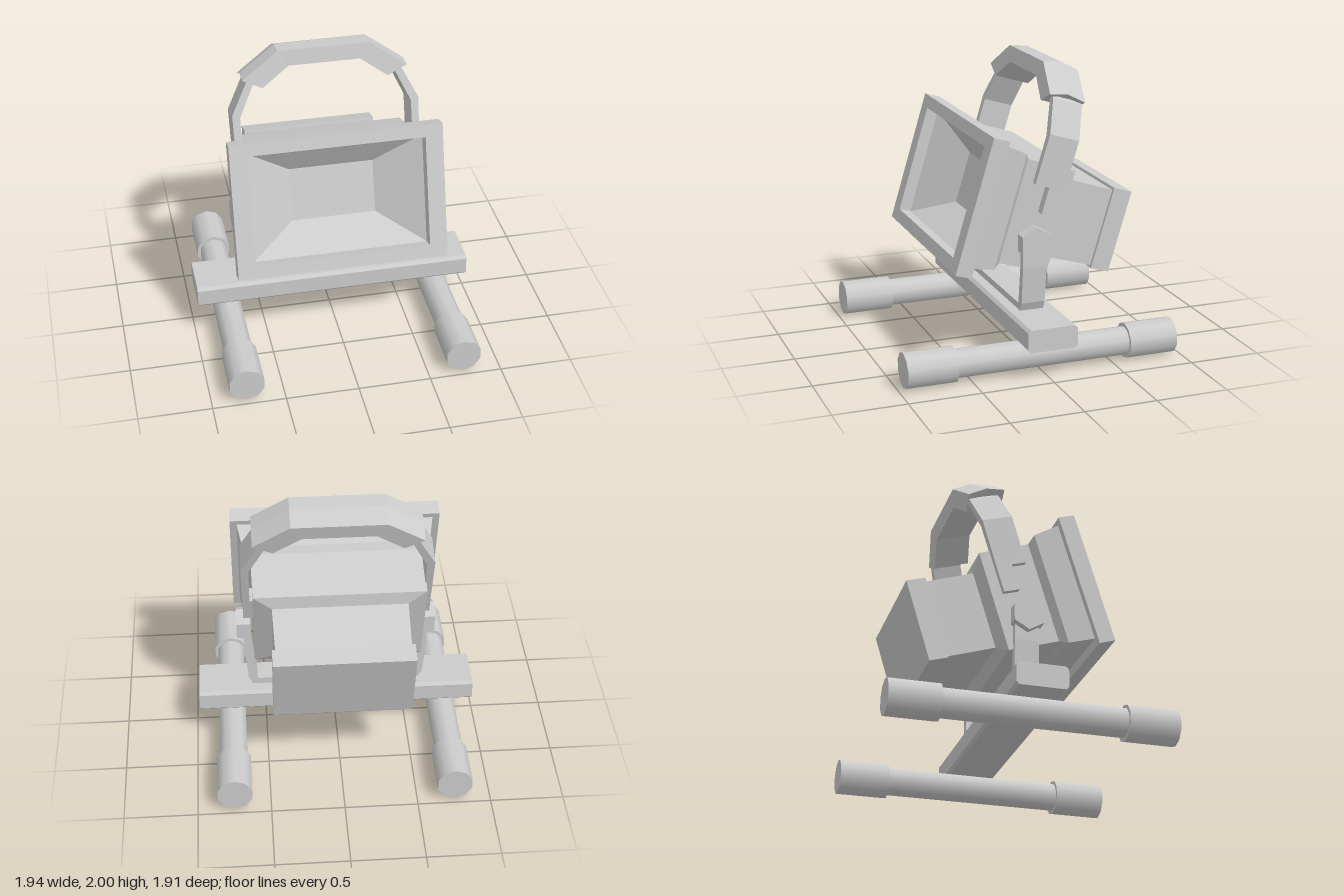
import * as THREE from 'three';

const flat = new THREE.MeshStandardMaterial({ color: 0xcccccc, flatShading: true });
const smooth = new THREE.MeshStandardMaterial({ color: 0xcccccc });

function add(parent, name, geometry, material = flat) {
  const mesh = new THREE.Mesh(geometry, material);
  mesh.name = name;
  parent.add(mesh);
  return mesh;
}

// Skin a list of equal-length rings and close both ends
function loft(rings) {
  const pos = [];
  const tri = (a, b, c) => pos.push(...a, ...b, ...c);
  const n = rings[0].length;
  for (let i = 0; i < rings.length - 1; i++) {
    for (let j = 0; j < n; j++) {
      const k = (j + 1) % n;
      const [a, b, c, d] = [rings[i][j], rings[i][k], rings[i + 1][k], rings[i + 1][j]];
      tri(a, b, c);
      tri(a, c, d);
    }
  }
  const last = rings[rings.length - 1];
  for (let j = 1; j < n - 1; j++) {
    tri(rings[0][0], rings[0][j + 1], rings[0][j]);
    tri(last[0], last[j], last[j + 1]);
  }
  const g = new THREE.BufferGeometry();
  g.setAttribute('position', new THREE.Float32BufferAttribute(pos, 3));
  g.computeVertexNormals();
  return g;
}

// Rectangular ring: depth, half width, bottom, top
const rect = ([z, w, y0, y1]) => [[-w, y0, z], [w, y0, z], [w, y1, z], [-w, y1, z]];

// Extrude an outline in x, y along z from z0 to z1
function extrude(points, z0, z1) {
  const shape = new THREE.Shape(points.map(([x, y]) => new THREE.Vector2(x, y)));
  return new THREE.ExtrudeGeometry(shape, { depth: z1 - z0, bevelEnabled: false }).translate(0, 0, z0);
}

export function createModel() {
  const model = new THREE.Group();
  model.name = 'floodlight';

  // Floor tubes with thicker end sleeves
  for (const x of [-0.757, 0.744]) {
    const foot = new THREE.Group();
    foot.name = 'footTube';
    foot.position.set(x, 0.123, 0);
    foot.rotation.x = Math.PI / 2;
    model.add(foot);
    add(foot, 'tube', new THREE.CylinderGeometry(0.099, 0.099, 1.3, 10), smooth);
    for (const s of [-1, 1]) {
      add(foot, 'endSleeve', new THREE.CylinderGeometry(0.123, 0.123, 0.345, 10), smooth).position.y = s * 0.783;
    }
  }

  // Cross bar with chamfered long edges
  const h = 0.078, d = 0.173, c = 0.02;
  const bar = add(model, 'crossBar', extrude([
    [-d, -h + c], [-d + c, -h], [d - c, -h], [d, -h + c],
    [d, h - c], [d - c, h], [-d + c, h], [-d, h - c],
  ], -0.972, 0.972));
  bar.rotation.y = Math.PI / 2;
  bar.position.y = 0.293;

  // U-shaped bracket
  add(model, 'bracket', extrude([
    [-0.59, 0.37], [0.59, 0.37], [0.617, 0.43], [0.64, 0.68], [0.64, 0.9], [0.59, 0.9],
    [0.59, 0.68], [0.555, 0.417], [-0.555, 0.417], [-0.59, 0.68], [-0.59, 0.9],
    [-0.64, 0.9], [-0.64, 0.68], [-0.617, 0.43],
  ], -0.08, 0.085));

  // Hexagonal clamping knobs
  for (const s of [-1, 1]) {
    const knob = add(model, 'knob', new THREE.CylinderGeometry(0.117, 0.117, 0.09, 6, 1, false, Math.PI / 2));
    knob.rotation.z = Math.PI / 2;
    knob.position.set(s * 0.645, 0.855, 0.005);
  }

  // Tilted head: everything below is built around the pivot
  const head = new THREE.Group();
  head.name = 'head';
  head.position.y = 0.86;
  head.rotation.x = -0.291;
  model.add(head);

  // Housing, from rear cover to front frame and into the reflector
  const housing = add(head, 'housing', loft([
    [-0.682, 0.474, -0.146, 0.434],
    [-0.548, 0.474, -0.146, 0.434],
    [-0.548, 0.452, -0.130, 0.415],
    [-0.209, 0.460, -0.127, 0.424],
    [-0.175, 0.585, -0.205, 0.508],
    [0.182, 0.590, -0.203, 0.520],
    [0.224, 0.640, -0.241, 0.557],
    [0.398, 0.672, -0.255, 0.588],
    [0.398, 0.720, -0.308, 0.626],
    [0.512, 0.720, -0.308, 0.626],
    [0.512, 0.600, -0.220, 0.542],
    [0.430, 0.597, -0.218, 0.540],
    [0.233, 0.290, -0.023, 0.343],
  ].map(rect)));
  housing.position.x = -0.014;

  // Handle straps with a narrow lower tongue
  for (const s of [-1, 1]) {
    add(head, 'handleStrap', extrude([
      [0.592, 0.375], [0.64, 0.375], [0.645, 0.72], [0.535, 0.94],
      [0.44, 1.03], [0.42, 0.99], [0.49, 0.92], [0.592, 0.70],
    ].map(([x, y]) => [s * x, y]), -0.102, 0.112));
    add(head, 'strapTongue', new THREE.BoxGeometry(0.07, 0.19, 0.112)).position.set(s * 0.605, 0.285, -0.046);
  }

  // Faceted grip, stations: outer x, outer y, inner x, inner y
  const half = [[0.565, 0.965, 0.43, 0.9], [0.315, 1.142, 0.245, 1.035]];
  const stations = [
    ...half.map(([a, b, e, f]) => [-a, b, -e, f]),
    ...half.slice().reverse(),
  ];
  add(head, 'grip', loft(stations.map(([xo, yo, xi, yi]) => [
    [xo, yo + 0.026, 0.03], [xo, yo, 0.155], [xi, yi, 0.148],
    [xi, yi, -0.11], [xo, yo, -0.105],
  ])));

  return model;
}
